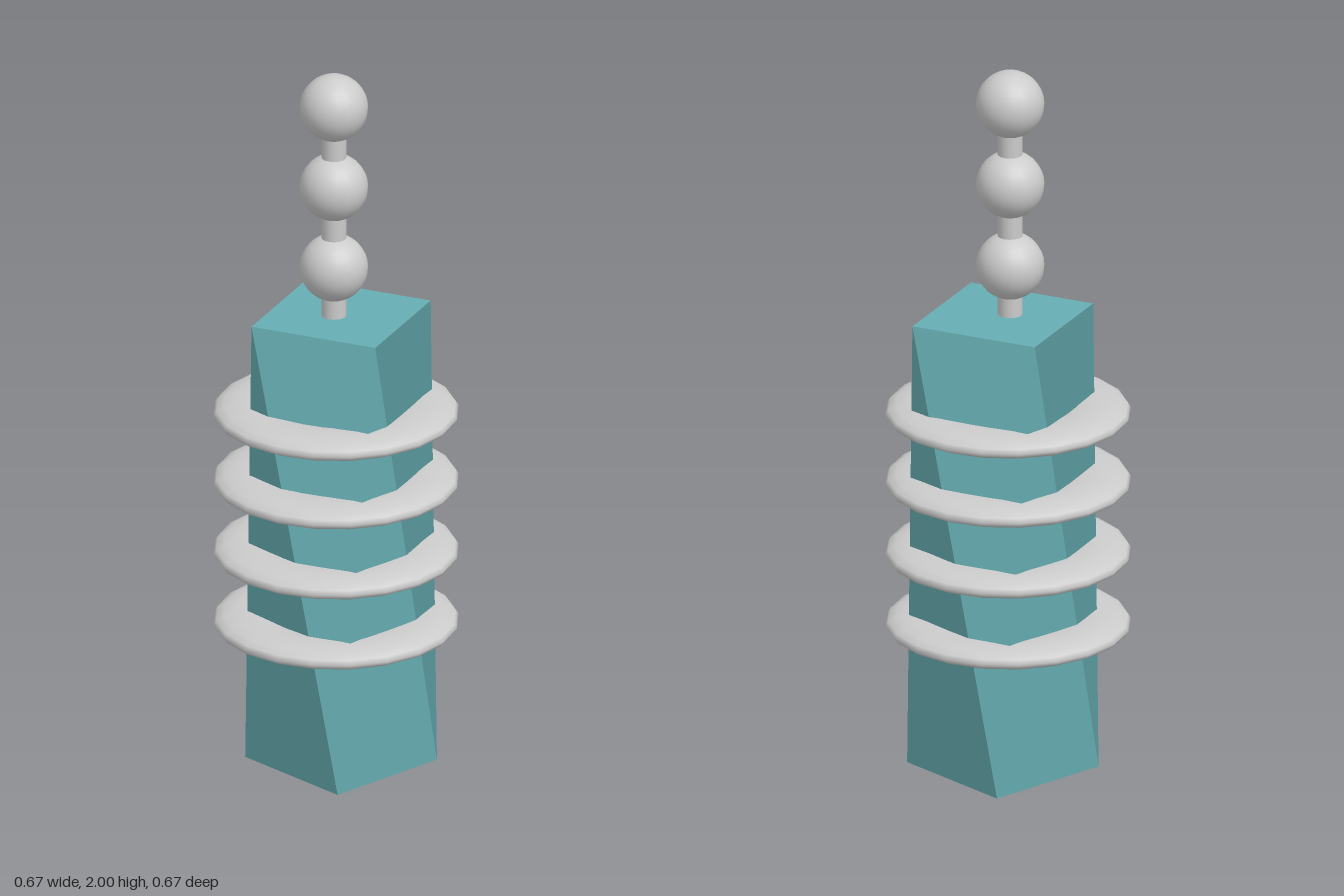
import * as THREE from 'three';

const grey = new THREE.MeshStandardMaterial({ color: 0xcccccc });
const teal = new THREE.MeshStandardMaterial({ color: 0x66adb2 });

// Square prism whose top is turned against its base; each side keeps one normal
function twistedPrism(radius, height, startDeg, twistDeg) {
  const pos = [], nor = [];
  const corner = (k, top) => {
    const a = THREE.MathUtils.degToRad(startDeg + 90 * k + (top ? twistDeg : 0));
    return [radius * Math.cos(a), top ? height : 0, radius * Math.sin(a)];
  };
  const tri = (n, ...points) => points.forEach((p) => { pos.push(...p); nor.push(...n); });
  const b = [], t = [];
  for (let k = 0; k < 4; k++) {
    b.push(corner(k, false));
    t.push(corner(k, true));
  }
  for (let k = 0; k < 4; k++) {
    const j = (k + 1) % 4;
    const a = THREE.MathUtils.degToRad(startDeg + 45 + 90 * k + twistDeg / 2);
    const n = [Math.cos(a), 0, Math.sin(a)];
    tri(n, b[j], b[k], t[k]);
    tri(n, b[j], t[k], t[j]);
  }
  tri([0, 1, 0], t[3], t[2], t[1], t[3], t[1], t[0]);
  tri([0, -1, 0], b[0], b[1], b[2], b[0], b[2], b[3]);
  const geo = new THREE.BufferGeometry();
  geo.setAttribute('position', new THREE.Float32BufferAttribute(pos, 3));
  geo.setAttribute('normal', new THREE.Float32BufferAttribute(nor, 3));
  return geo;
}

export function createModel() {
  const model = new THREE.Group();
  const add = (name, geo, mat, x, y, z) => {
    const mesh = new THREE.Mesh(geo, mat);
    mesh.name = name;
    mesh.position.set(x, y, z);
    model.add(mesh);
  };

  // Twisted column
  add('twistedColumn', twistedPrism(0.259, 1.3, 45, 67), teal, 0.015, 0, 0.004);

  // Flattened rings around the column
  const ring = new THREE.TorusGeometry(0.235, 0.098, 16, 20);
  ring.rotateX(Math.PI / 2).scale(1, 0.32, 1);
  [0.41, 0.615, 0.82, 1.02].forEach((y, i) => add('ring' + (i + 1), ring, grey, 0, y, 0));

  // Beaded spire: a ball on top of each short rod
  const ball = new THREE.SphereGeometry(0.093, 20, 16);
  const rod = new THREE.CylinderGeometry(0.034, 0.034, 0.16, 16);
  [1.44, 1.675, 1.907].forEach((y, i) => {
    add('spireRod' + (i + 1), rod, grey, -0.006, y - 0.12, -0.002);
    add('spireBall' + (i + 1), ball, grey, -0.006, y, -0.002);
  });

  return model;
}
